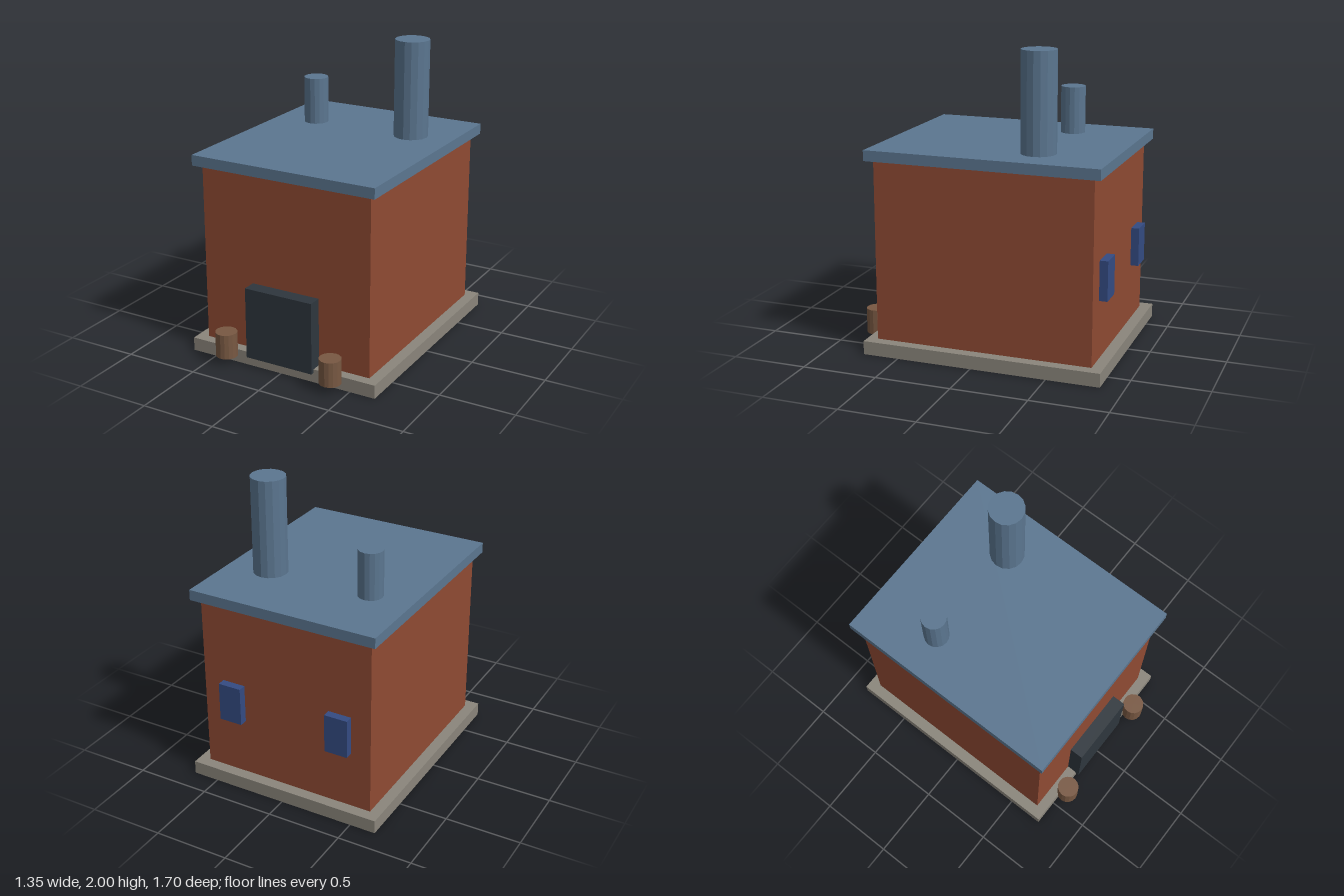
import * as THREE from 'three';

const mat = (name, color, flatShading = false) => {
  const m = new THREE.MeshStandardMaterial({ color, flatShading });
  m.name = name;
  return m;
};

export function createModel() {
  const group = new THREE.Group();
  const brick = mat('brick red', 0x8f4a33);
  const slate = mat('slate blue', 0x5b7690, true);
  const stone = mat('stone grey', 0x8a857b);
  const iron = mat('dark iron', 0x2e363d);
  const wood = mat('brown wood', 0x785842, true);
  const glass = mat('blue glass', 0x344b82);

  // Box given by its min and max on each axis
  const box = (name, material, [x0, x1], [y0, y1], [z0, z1]) => {
    const mesh = new THREE.Mesh(new THREE.BoxGeometry(x1 - x0, y1 - y0, z1 - z0), material);
    mesh.position.set((x0 + x1) / 2, (y0 + y1) / 2, (z0 + z1) / 2);
    mesh.name = name;
    group.add(mesh);
  };
  // Upright faceted cylinder
  const post = (name, material, r, x, z, y0, y1) => {
    const mesh = new THREE.Mesh(new THREE.CylinderGeometry(r, r, y1 - y0, 16), material);
    mesh.position.set(x, (y0 + y1) / 2, z);
    mesh.name = name;
    group.add(mesh);
  };

  // Building
  box('foundation', stone, [-0.675, 0.675], [0, 0.09], [-0.85, 0.74]);
  box('walls', brick, [-0.602, 0.602], [0.09, 1.283], [-0.775, 0.672]);
  box('roof', slate, [-0.65, 0.65], [1.283, 1.353], [-0.825, 0.718]);
  box('door', iron, [-0.242, 0.242], [0.065, 0.547], [0.67, 0.765]);

  // Chimneys
  post('tallChimney', slate, 0.114, 0.358, -0.343, 1.35, 2);
  post('shortChimney', slate, 0.082, -0.363, -0.343, 1.35, 1.665);

  // Barrels beside the door, windows in the back wall
  for (const [side, x] of [['left', 0.383], ['right', -0.387]]) {
    post(side + 'Barrel', wood, 0.072, x, 0.777, 0.053, 0.22);
    box(side + 'Window', glass, [x - 0.079, x + 0.079], [0.477, 0.737], [-0.829, -0.77]);
  }
  return group;
}
